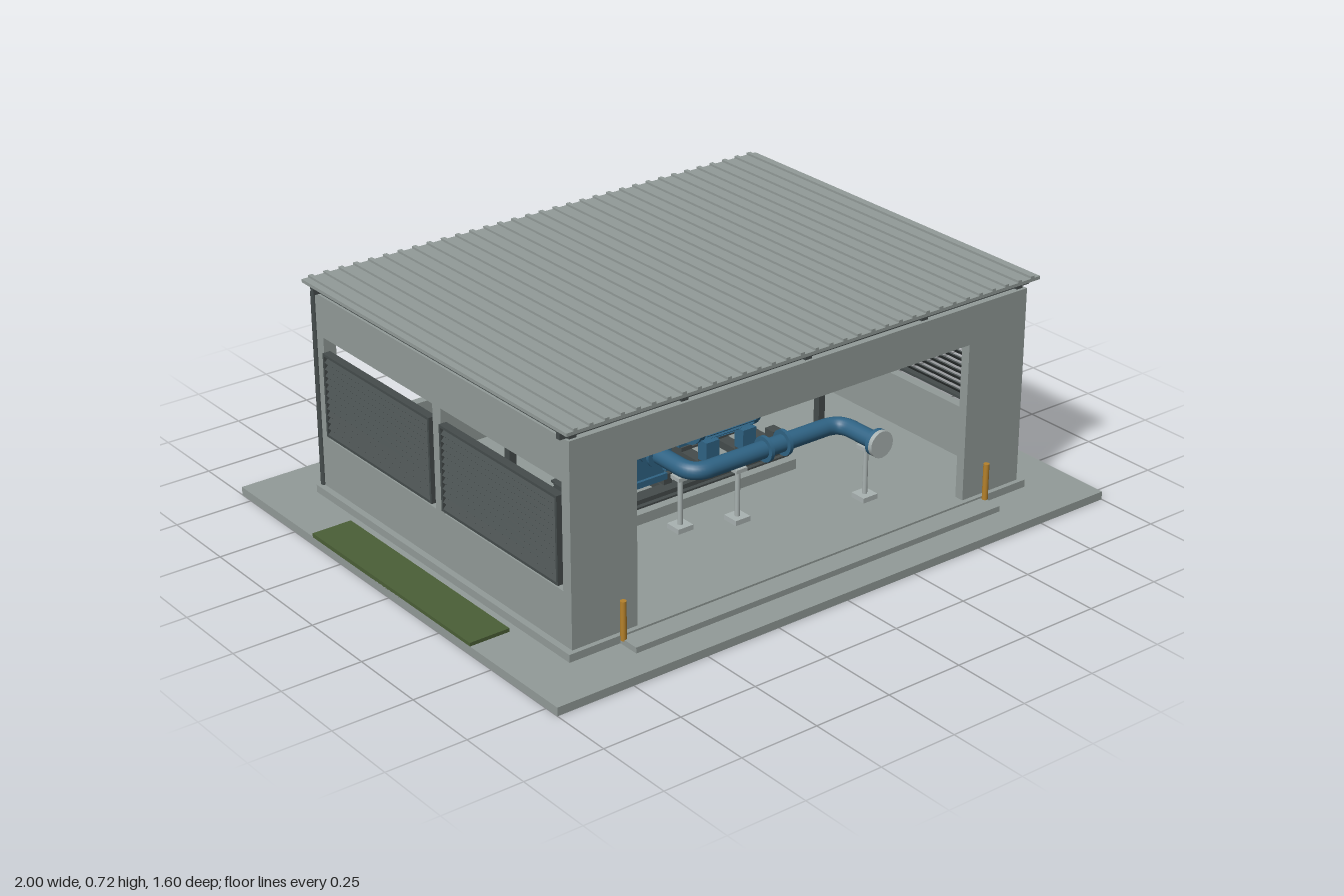
import * as THREE from 'three';

const mat = (name, color, extra = {}) => {
  const m = new THREE.MeshStandardMaterial({ color, ...extra });
  m.name = name;
  return m;
};

export function createModel() {
  const root = new THREE.Group();
  root.name = 'pumpHouse';
  const concrete = mat('concrete', 0x929b98);
  const steel = mat('light steel', 0xa9b2b1);
  const dark = mat('dark steel', 0x454c4c);
  const blue = mat('machine blue', 0x2f6384);
  const ochre = mat('safety ochre', 0xb5812b);
  const grass = mat('grass', 0x4b5f37);

  const add = (name, geo, m, parent = root) => {
    const mesh = new THREE.Mesh(geo, m);
    mesh.name = name;
    parent.add(mesh);
    return mesh;
  };
  // Box given by its minimum and maximum on each axis
  const box = (name, m, x0, x1, y0, y1, z0, z1, parent) => {
    const mesh = add(name, new THREE.BoxGeometry(x1 - x0, y1 - y0, z1 - z0), m, parent);
    mesh.position.set((x0 + x1) / 2, (y0 + y1) / 2, (z0 + z1) / 2);
    return mesh;
  };
  // Cylinder centred at a point, lying along the given axis
  const cyl = (name, m, axis, r, len, x, y, z, parent, sides = 24) => {
    const geo = new THREE.CylinderGeometry(r, r, len, sides);
    if (axis === 'x') geo.rotateZ(-Math.PI / 2);
    if (axis === 'z') geo.rotateX(Math.PI / 2);
    const mesh = add(name, geo, m, parent);
    mesh.position.set(x, y, z);
    return mesh;
  };
  // Upright wall with rectangular openings [u0, u1, y0, y1]; thickness runs along local +z
  const wall = (name, half, thick, openings) => {
    const rect = (P, a, b, c, d) => {
      const p = new P();
      p.moveTo(a, c); p.lineTo(b, c); p.lineTo(b, d); p.lineTo(a, d); p.closePath();
      return p;
    };
    const shape = rect(THREE.Shape, -half, half, 0.05, 0.67);
    openings.forEach(([a, b, c, d]) => shape.holes.push(rect(THREE.Path, a, b, c, d)));
    return add(name, new THREE.ExtrudeGeometry(shape, { depth: thick, bevelEnabled: false }), concrete);
  };

  // Ground slab, floor, entrance step and grass strips
  box('groundSlab', concrete, -1, 1, 0, 0.026, -0.8, 0.8);
  box('floorSlab', concrete, -0.84, 0.84, 0.026, 0.05, -0.635, 0.635);
  box('entranceStep', concrete, -0.67, 0.67, 0.026, 0.044, 0.63, 0.705);
  for (const s of [-1, 1]) {
    const strip = box('grassStrip', grass, 0.87, 1, 0.024, 0.037, -0.4, 0.4);
    strip.position.x *= s;
    cyl('bollard', ochre, 'y', 0.009, 0.12, s * 0.667, 0.1, 0.645);
  }

  // Walls
  const t = 0.03;
  for (const s of [-1, 1]) {
    box('frontPier', concrete, Math.min(s * 0.6, s * 0.82), Math.max(s * 0.6, s * 0.82), 0.05, 0.67, 0.59, 0.62);
  }
  box('frontLintel', concrete, -0.6, 0.6, 0.55, 0.67, 0.59, 0.62);
  wall('backWall', 0.82, t, [[-0.775, -0.02, 0.235, 0.55], [0.02, 0.775, 0.235, 0.55]]).position.z = -0.62;
  for (const s of [-1, 1]) {
    const side = wall('sideWall', 0.59, t, [[-0.584, -0.02, 0.215, 0.54], [0.02, 0.584, 0.215, 0.54]]);
    side.rotation.y = Math.PI / 2;
    side.position.x = s > 0 ? 0.79 : -0.82;

    // Louvre panels, two per side
    for (const zc of [-0.3, 0.3]) {
      const panel = new THREE.Group();
      panel.name = 'louvrePanel';
      root.add(panel);
      for (const e of [-1, 1]) {
        box('louvreStile', dark, -0.013, 0.013, 0.23, 0.497, e * 0.271 - 0.004, e * 0.271 + 0.004, panel);
        const y = e > 0 ? 0.493 : 0.234;
        box('louvreRail', dark, -0.013, 0.013, y - 0.004, y + 0.004, -0.275, 0.275, panel);
      }
      for (let i = 0; i < 12; i++) {
        const slat = add('louvreSlat', new THREE.BoxGeometry(0.032, 0.004, 0.54), dark, panel);
        slat.position.y = 0.248 + i * 0.021;
        slat.rotation.z = -0.8;
      }
      panel.position.set(s * 0.818, 0, zc);
      if (s < 0) panel.rotation.y = Math.PI;
    }
    // Downpipes at the back corners and inner columns
    cyl('downpipe', dark, 'y', 0.01, 0.62, s * 0.818, 0.36, -0.628, root, 12);
    box('innerColumn', dark, s * 0.577 - 0.012, s * 0.577 + 0.012, 0.05, 0.685, -0.012, 0.012);
  }

  // Roof framing
  for (const x of [-0.8, -0.43, 0, 0.43, 0.8]) box('rafter', dark, x - 0.012, x + 0.012, 0.668, 0.686, -0.61, 0.61);
  for (const z of [-0.6, 0.6]) box('purlin', dark, -0.84, 0.84, 0.675, 0.7, z - 0.008, z + 0.008);
  // Ribbed roof sheet
  box('roofSheet', concrete, -0.845, 0.845, 0.7, 0.71, -0.645, 0.645);
  for (let i = -16; i <= 16; i++) box('roofRib', concrete, i * 0.051 - 0.007, i * 0.051 + 0.007, 0.709, 0.717, -0.645, 0.645);

  // Plinth and skid frame
  box('plinth', concrete, -0.36, 0.35, 0.05, 0.083, -0.16, 0.16);
  for (const z of [-0.11, 0.11]) {
    box('skidFlangeLow', dark, -0.345, 0.345, 0.083, 0.089, z - 0.022, z + 0.022);
    box('skidWeb', dark, -0.345, 0.345, 0.088, 0.106, z - 0.008, z + 0.008);
    box('skidFlangeTop', dark, -0.345, 0.345, 0.105, 0.112, z - 0.022, z + 0.022);
  }
  for (const x of [-0.33, -0.24, -0.09, 0.09, 0.23, 0.33]) box('skidCrossMember', dark, x - 0.02, x + 0.02, 0.088, 0.112, -0.11, 0.11);
  for (const x of [-0.24, -0.09]) for (const z of [-0.08, 0.08]) box('pumpMount', dark, x - 0.015, x + 0.015, 0.11, 0.145, z - 0.02, z + 0.02);
  box('controlPost', dark, 0.31, 0.345, 0.11, 0.16, 0.06, 0.1);

  // Pump casing: two-lobed body between end plates
  const pump = new THREE.Group();
  pump.name = 'pump';
  root.add(pump);
  box('pumpBody', blue, -0.215, -0.105, 0.15, 0.33, -0.1, 0.1, pump);
  for (const x of [-0.225, -0.1]) {
    box('pumpEndPlate', blue, x - 0.01, x + 0.01, 0.165, 0.34, -0.115, 0.115, pump);
    for (const z of [-0.1, 0.1]) for (const y of [0.18, 0.25, 0.325]) cyl('plateBolt', steel, 'x', 0.006, 0.026, x, y, z, pump, 6);
  }
  box('pumpFoot', blue, -0.22, -0.1, 0.135, 0.155, -0.11, 0.11, pump);
  // Intake neck and fluted filter
  cyl('intakeFlange', blue, 'y', 0.04, 0.014, -0.163, 0.338, 0, pump);
  cyl('intakeNeck', blue, 'y', 0.025, 0.06, -0.163, 0.365, 0, pump);
  cyl('filterCore', steel, 'y', 0.052, 0.074, -0.163, 0.425, 0, pump);
  for (const y of [0.389, 0.462]) cyl('filterCap', steel, 'y', 0.058, 0.007, -0.163, y, 0, pump);
  for (let i = 0; i < 20; i++) {
    const a = (i / 20) * Math.PI * 2;
    const rib = box('filterRib', dark, -0.002, 0.002, 0.392, 0.459, -0.003, 0.003, pump);
    rib.position.x = -0.163 + Math.sin(a) * 0.053;
    rib.position.z = Math.cos(a) * 0.053;
    rib.rotation.y = a;
  }

  // Shaft and coupling guard
  cyl('shaft', steel, 'x', 0.014, 0.2, -0.01, 0.24, 0);
  cyl('couplingGuard', ochre, 'x', 0.046, 0.06, -0.005, 0.24, 0);

  // Finned motor
  const motor = new THREE.Group();
  motor.name = 'motor';
  root.add(motor);
  cyl('motorBody', blue, 'x', 0.072, 0.21, 0.17, 0.24, 0, motor, 32);
  for (const x of [0.065, 0.275]) cyl('motorEndBell', blue, 'x', 0.078, 0.02, x, 0.24, 0, motor, 32);
  cyl('motorFanCover', blue, 'x', 0.06, 0.02, 0.293, 0.24, 0, motor, 32);
  for (let i = 0; i < 28; i++) {
    const a = (i / 28) * Math.PI * 2;
    const fin = add('motorFin', new THREE.BoxGeometry(0.19, 0.012, 0.004), blue, motor);
    fin.position.set(0.17, 0.24 + Math.cos(a) * 0.076, Math.sin(a) * 0.076);
    fin.rotation.x = a;
  }
  for (const x of [0.09, 0.23]) for (const z of [-0.065, 0.065]) {
    box('motorFoot', blue, x - 0.025, x + 0.025, 0.125, 0.19, z - 0.02, z + 0.02, motor);
    box('motorPad', dark, x - 0.02, x + 0.02, 0.111, 0.126, z - 0.025, z + 0.025, motor);
  }
  box('terminalBoxBase', blue, 0.105, 0.185, 0.305, 0.322, -0.04, 0.04, motor);
  box('terminalBox', dark, 0.11, 0.178, 0.32, 0.353, -0.035, 0.035, motor);

  // Discharge pipe with rounded elbows
  const path = new THREE.CurvePath();
  const v = (x, z) => new THREE.Vector3(x, 0.25, z);
  path.add(new THREE.LineCurve3(v(-0.163, 0.09), v(-0.163, 0.25)));
  path.add(new THREE.QuadraticBezierCurve3(v(-0.163, 0.25), v(-0.163, 0.31), v(-0.103, 0.31)));
  path.add(new THREE.LineCurve3(v(-0.103, 0.31), v(0.325, 0.31)));
  path.add(new THREE.QuadraticBezierCurve3(v(0.325, 0.31), v(0.385, 0.31), v(0.385, 0.37)));
  path.add(new THREE.LineCurve3(v(0.385, 0.37), v(0.385, 0.49)));
  add('dischargePipe', new THREE.TubeGeometry(path, 100, 0.027, 20), blue);
  for (const z of [0.112, 0.15]) cyl('pumpFlange', blue, 'z', 0.042, 0.012, -0.163, 0.25, z);
  for (const x of [0.1, 0.17]) cyl('pipeFlange', blue, 'x', 0.04, 0.012, x, 0.25, 0.31);
  cyl('outletFlange', blue, 'z', 0.042, 0.014, 0.385, 0.25, 0.478);
  cyl('outletBlank', steel, 'z', 0.042, 0.014, 0.385, 0.25, 0.492);

  // Pipe supports
  for (const [x, z] of [[-0.163, 0.25], [0, 0.31], [0.385, 0.43]]) {
    box('supportFoot', steel, x - 0.027, x + 0.027, 0.05, 0.066, z - 0.027, z + 0.027);
    cyl('supportPost', steel, 'y', 0.008, 0.15, x, 0.14, z, root, 12);
    box('supportSaddle', steel, x - 0.02, x + 0.02, 0.212, 0.224, z - 0.02, z + 0.02);
  }
  return root;
}
